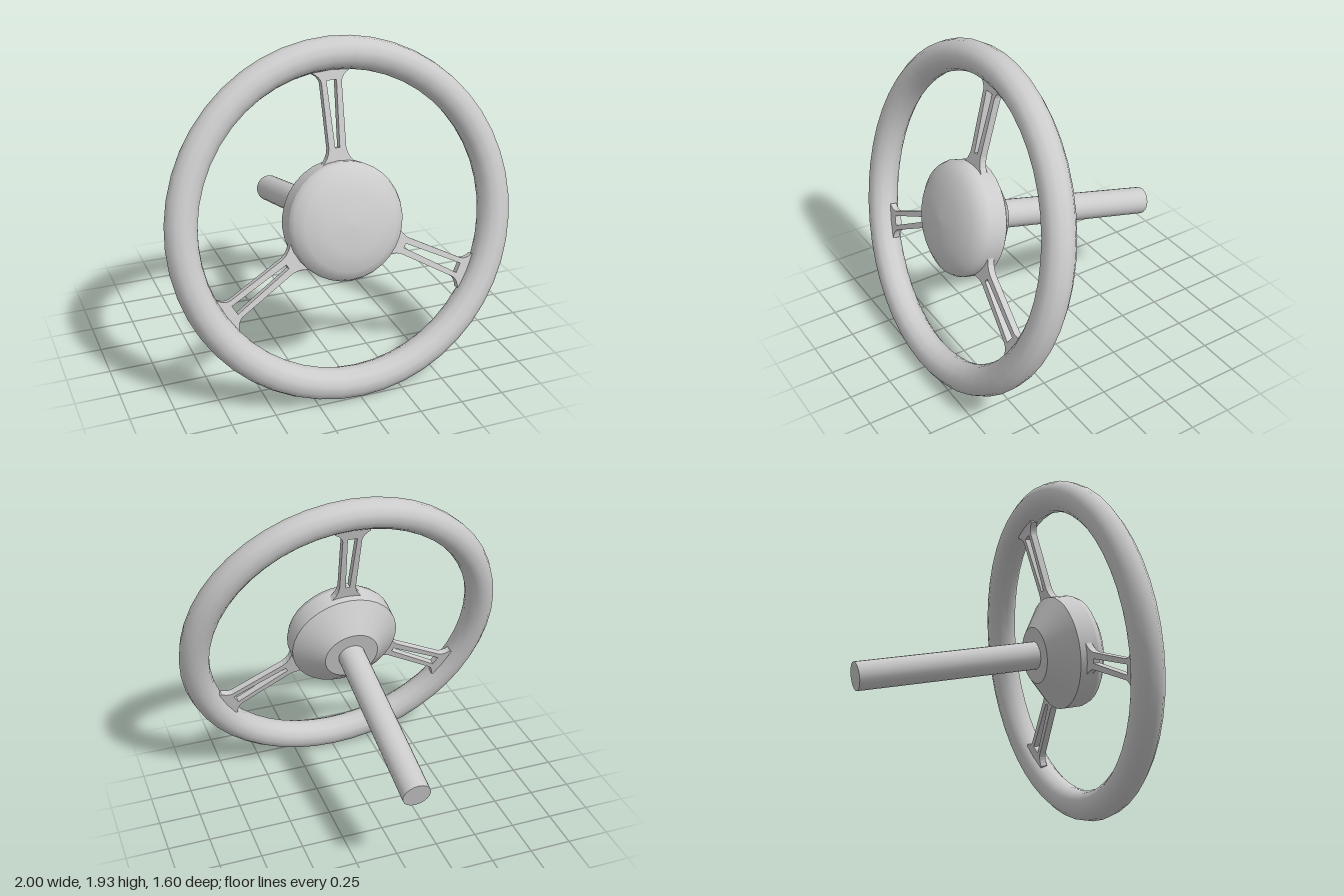
import * as THREE from 'three';

const material = new THREE.MeshStandardMaterial({ color: 0xcccccc });
const CENTRE_Y = 0.97, CENTRE_Z = 0.48, TILT = Math.PI / 12;

function addMesh(parent, geometry, name) {
  const mesh = new THREE.Mesh(geometry, material);
  mesh.name = name;
  parent.add(mesh);
  return mesh;
}

// Surface of revolution about the wheel axis; points are [radius, z], back to front
function turned(points, segments = 32) {
  return new THREE.LatheGeometry(points.map(p => new THREE.Vector2(...p)), segments).rotateX(Math.PI / 2);
}

// Slotted spoke pointing along +y, flared into the hub and the rim
function spokeGeometry() {
  const shape = new THREE.Shape();
  shape.moveTo(-0.11, 0.3);
  shape.lineTo(0.11, 0.3);
  shape.quadraticCurveTo(0.055, 0.34, 0.05, 0.4);
  shape.lineTo(0.058, 0.755);
  shape.quadraticCurveTo(0.065, 0.79, 0.105, 0.81);
  shape.lineTo(0.105, 0.84);
  shape.lineTo(-0.105, 0.84);
  shape.lineTo(-0.105, 0.81);
  shape.quadraticCurveTo(-0.065, 0.79, -0.058, 0.755);
  shape.lineTo(-0.05, 0.4);
  shape.quadraticCurveTo(-0.055, 0.34, -0.11, 0.3);
  const slot = [[-0.013, 0.4], [-0.029, 0.765], [0.029, 0.765], [0.013, 0.4]];
  shape.holes.push(new THREE.Path(slot.map(p => new THREE.Vector2(...p))));
  return new THREE.ExtrudeGeometry(shape, { depth: 0.04, bevelEnabled: false, curveSegments: 4 })
    .translate(0, 0, -0.04);
}

export function createModel() {
  const model = new THREE.Group();
  model.name = 'steeringWheel';

  // Everything is built around the wheel axis (z), then tilted back
  const wheel = new THREE.Group();
  wheel.name = 'tiltedWheel';
  wheel.position.set(0, CENTRE_Y, CENTRE_Z);
  wheel.rotation.x = -TILT;
  model.add(wheel);

  addMesh(wheel, new THREE.TorusGeometry(0.91, 0.09, 12, 48), 'rim');

  // Hub sections are separate so the edges between them stay sharp
  const hub = new THREE.Group();
  hub.name = 'hub';
  wheel.add(hub);
  addMesh(hub, turned([[0, -0.208], [0.165, -0.208]]), 'hubBackPlate');
  addMesh(hub, turned([[0.165, -0.208], [0.33, -0.08]]), 'hubCone');
  addMesh(hub, turned([[0.33, -0.08], [0.33, 0.035]]), 'hubSide');
  addMesh(hub, turned([[0.33, 0.035], [0.315, 0.07], [0.265, 0.105], [0.16, 0.139], [0, 0.147]]), 'hornPad');

  // Three spokes, one straight up
  const spoke = spokeGeometry();
  for (let i = 0; i < 3; i++) {
    addMesh(wheel, spoke, 'spoke').rotation.z = i * Math.PI * 2 / 3;
  }

  // Steering column running backwards from the hub
  const column = new THREE.CylinderGeometry(0.082, 0.082, 1.12, 20).rotateX(Math.PI / 2);
  addMesh(wheel, column, 'column').position.z = -0.74;

  return model;
}
